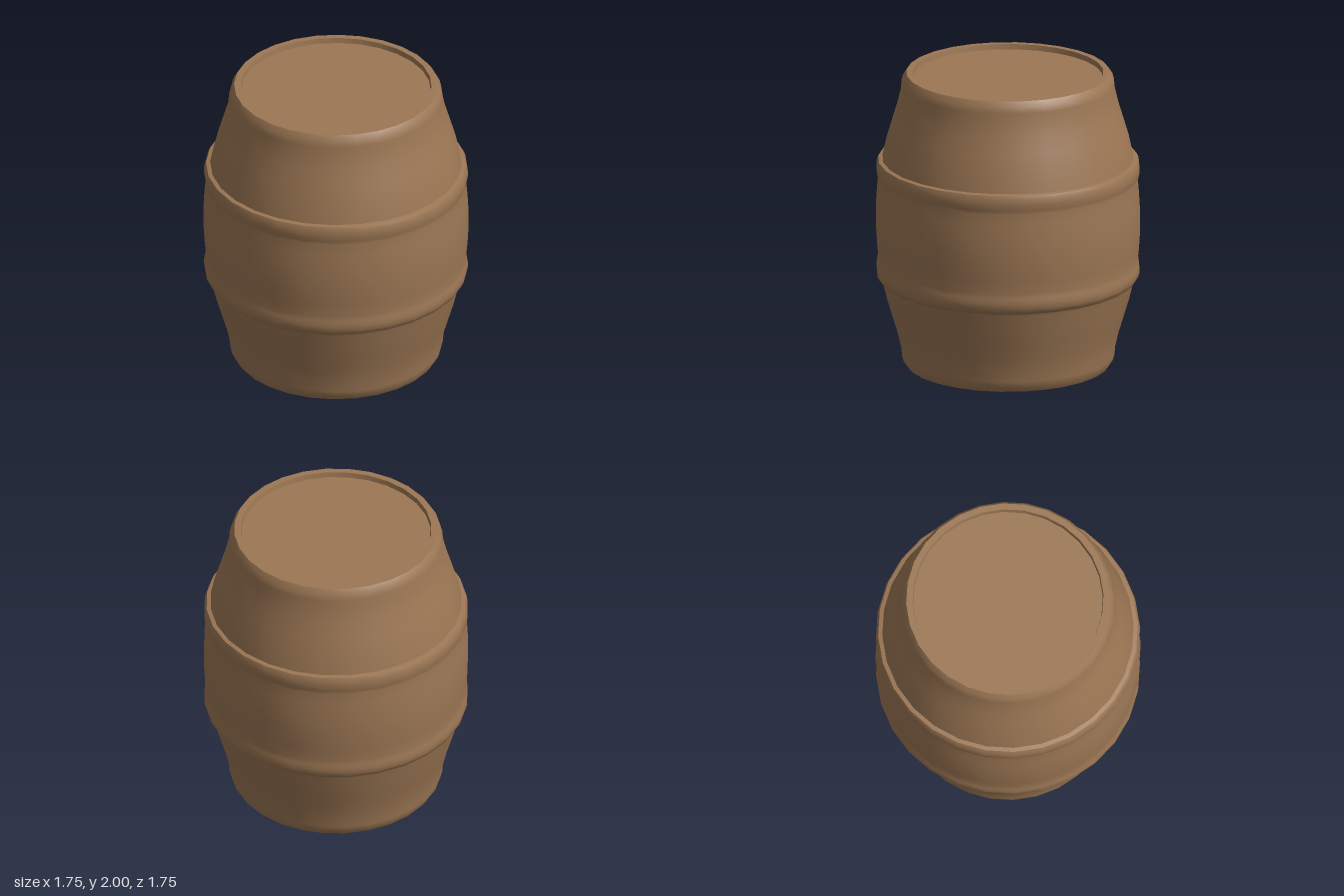
import * as THREE from 'three';

const SIDES = 28;

export function createModel() {
  const barrel = new THREE.Group();
  barrel.name = 'barrel';
  const wood = new THREE.MeshStandardMaterial({ color: 0x9c7754 });
  wood.name = 'brownWood';

  // Each part is a revolved profile of [radius, height], traced from bottom centre up to top centre
  function turn(name, profile) {
    const points = profile.map(([r, y]) => new THREE.Vector2(r, y));
    const mesh = new THREE.Mesh(new THREE.LatheGeometry(points, SIDES), wood);
    mesh.name = name;
    barrel.add(mesh);
  }

  // Sunken bottom head and its rim
  turn('bottomHead', [[0, 0.035], [0.625, 0.035]]);
  turn('bottomRimInside', [[0.625, 0.035], [0.63, 0]]);
  turn('bottomRim', [[0.63, 0], [0.672, 0]]);

  // Staves below the lower hoop
  turn('lowerStaves', [
    [0.672, 0], [0.695, 0.035], [0.705, 0.075], [0.709, 0.13], [0.733, 0.23],
    [0.766, 0.34], [0.802, 0.46], [0.828, 0.565], [0.835, 0.582],
  ]);

  // Belly with a rounded hoop at either end
  turn('bellyAndHoops', [
    [0.835, 0.582], [0.854, 0.595], [0.868, 0.625], [0.871, 0.66], [0.866, 0.695],
    [0.859, 0.73], [0.867, 0.81], [0.873, 0.91], [0.875, 1.0], [0.873, 1.09],
    [0.867, 1.19], [0.859, 1.275], [0.865, 1.3], [0.872, 1.34], [0.868, 1.38],
    [0.857, 1.405],
  ]);
  turn('upperHoopLedge', [[0.857, 1.405], [0.83, 1.41]]);

  // Staves above the upper hoop
  turn('upperStaves', [
    [0.83, 1.41], [0.802, 1.54], [0.766, 1.66], [0.733, 1.77], [0.709, 1.87],
    [0.705, 1.925], [0.695, 1.965], [0.672, 2],
  ]);

  // Top rim and sunken top head
  turn('topRim', [[0.672, 2], [0.63, 2]]);
  turn('topRimInside', [[0.63, 2], [0.625, 1.965]]);
  turn('topHead', [[0.625, 1.965], [0, 1.965]]);

  return barrel;
}
